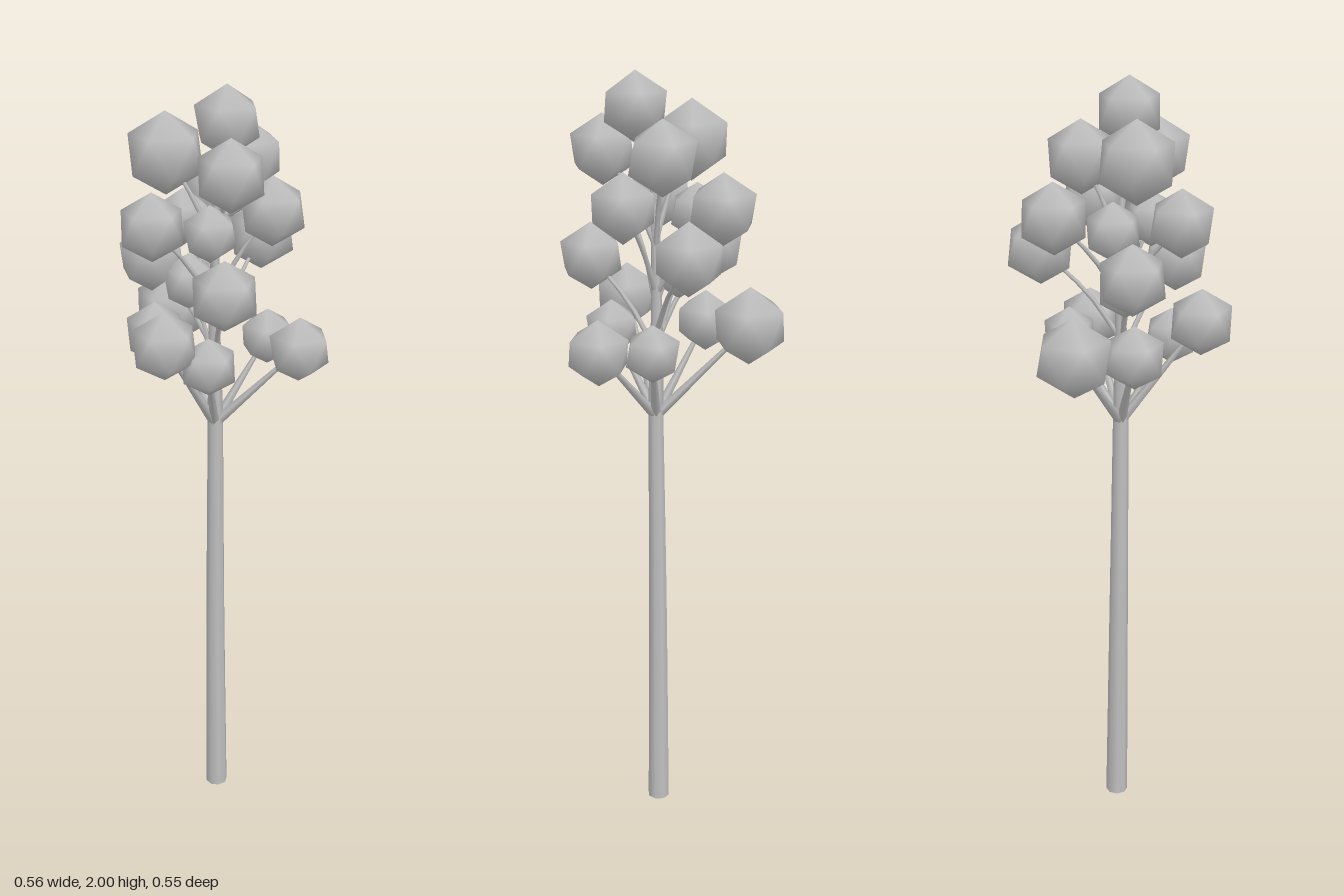
import * as THREE from 'three';

const grey = new THREE.MeshStandardMaterial({ color: 0xc0c0c0 });
grey.name = 'plain grey';

// Leaf clumps: x, y, z, radius
const CLUMPS = [
  [-0.19, 1.38, -0.115, 0.1], [-0.145, 1.365, 0.03, 0.08],
  [0.21, 1.355, -0.077, 0.083], [0.09, 1.35, -0.13, 0.073],
  [0.075, 1.35, 0.13, 0.073], [-0.005, 1.41, 0.2, 0.086],
  [-0.055, 1.51, 0.01, 0.072], [-0.155, 1.56, 0.025, 0.088],
  [0.125, 1.54, 0.14, 0.086], [0.03, 1.59, -0.198, 0.09],
  [0.045, 1.66, 0.075, 0.07], [-0.09, 1.66, -0.02, 0.072],
  [-0.073, 1.675, 0.143, 0.084], [0.135, 1.695, -0.065, 0.086],
  [-0.082, 1.69, -0.16, 0.088], [0.045, 1.81, -0.095, 0.091],
  [0.112, 1.81, 0.092, 0.087], [-0.103, 1.825, 0.035, 0.1],
  [0.058, 1.915, 0.021, 0.085],
];

// Icosahedron standing on a corner, shaded smooth
function clumpGeometry() {
  const geo = new THREE.IcosahedronGeometry(1, 0);
  geo.rotateX(-Math.atan((1 + Math.sqrt(5)) / 2));
  const normals = geo.attributes.position.clone();
  geo.setAttribute('normal', normals);
  return geo;
}

// Tapered limb swept along a smooth curve, capped by shrinking to its end radius
function limb(name, points, r0, r1, sides, steps) {
  const curve = new THREE.CatmullRomCurve3(points);
  const geo = new THREE.TubeGeometry(curve, steps, 1, sides, false);
  const pos = geo.attributes.position;
  const p = new THREE.Vector3(), c = new THREE.Vector3();
  for (let i = 0; i < pos.count; i++) {
    const t = Math.floor(i / (sides + 1)) / steps;
    curve.getPointAt(t, c);
    p.fromBufferAttribute(pos, i).sub(c).multiplyScalar(r0 + (r1 - r0) * t).add(c);
    pos.setXYZ(i, p.x, p.y, p.z);
  }
  const mesh = new THREE.Mesh(geo, grey);
  mesh.name = name;
  return mesh;
}

export function createModel() {
  const tree = new THREE.Group();
  tree.name = 'tree';
  const V = (x, y, z) => new THREE.Vector3(x, y, z);

  // Tall trunk with a closed foot
  tree.add(limb('trunk', [V(0.013, 0, -0.012), V(0.012, 0.6, -0.006), V(0.015, 1.17, 0)], 0.03, 0.02, 8, 8));
  const foot = new THREE.Mesh(new THREE.CircleGeometry(0.03, 8).rotateX(Math.PI / 2), grey);
  foot.name = 'trunkFoot';
  foot.position.set(0.013, 0.001, -0.012);
  tree.add(foot);

  // Central leader through the crown
  tree.add(limb('leader', [V(0.015, 1.15, 0), V(0.012, 1.45, 0), V(0.02, 1.75, 0.005)], 0.02, 0.007, 6, 6));

  const geo = clumpGeometry();
  CLUMPS.forEach(([x, y, z, r], i) => {
    // Branch leaves the leader below its clump, low ones from the fork
    const low = y < 1.45;
    const startY = low ? 1.14 : y - 0.23;
    const midY = startY + (y - startY) * (low ? 0.4 : 0.5);
    tree.add(limb('branch', [
      V(0.014, startY, 0), V(0.014 + (x - 0.014) * 0.4, midY, z * 0.4), V(x, y, z),
    ], low ? 0.014 : 0.008, 0.004, 5, 5));

    const clump = new THREE.Mesh(geo, grey);
    clump.name = 'leafClump';
    clump.position.set(x, y, z);
    clump.scale.setScalar(r);
    clump.rotation.y = (i % 4) * 0.15;
    tree.add(clump);
  });
  return tree;
}
